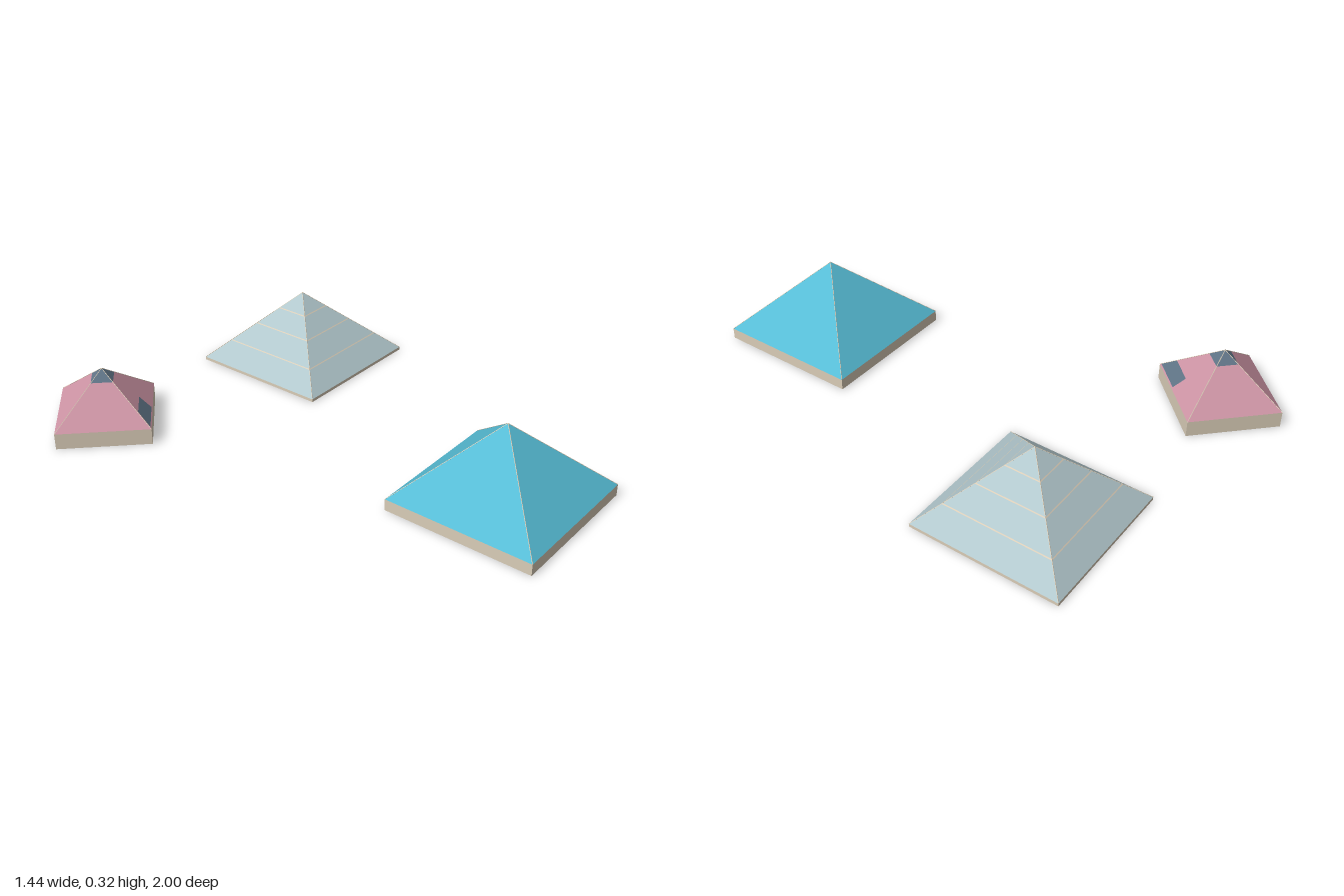
import * as THREE from 'three';

const mat = (name, color) => new THREE.MeshStandardMaterial({
  name, color, flatShading: true, side: THREE.DoubleSide,
});

export function createModel() {
  const cream = mat('cream', 0xdacdb8);
  const blue = mat('blue', 0x56bcd5);
  const grey = mat('paleGrey', 0xb2c8cd);
  const pink = mat('pink', 0xcc93a4);
  const slate = mat('slate', 0x5f7385);
  const model = new THREE.Group();
  model.name = 'pyramids';

  // Open-ended four-sided ring between two heights; r is the corner radius
  function ring(group, name, rBottom, rTop, y0, y1, material) {
    const geo = new THREE.CylinderGeometry(rTop, rBottom, y1 - y0, 4, 1, true);
    geo.translate(0, (y0 + y1) / 2, 0);
    const mesh = new THREE.Mesh(geo, material);
    mesh.name = name;
    group.add(mesh);
  }

  // Hollow pyramid: low wall, roof in coloured bands, thin trim on the hips
  // bands: [height where the band ends, material], from the eaves upward
  function pyramid({ name, x, z, radius, turn, wall, apex, bands }) {
    const group = new THREE.Group();
    group.name = name;
    group.position.set(x, 0, z);
    group.rotation.y = turn;
    const radiusAt = (y) => radius * (apex - y) / (apex - wall);

    ring(group, 'baseWall', radius, radius, 0, wall, cream);
    let y0 = wall;
    for (const [y1, material] of bands) {
      ring(group, material === cream ? 'roofLine' : 'roof', radiusAt(y0), radiusAt(y1), y0, y1, material);
      y0 = y1;
    }
    const top = new THREE.Vector3(0, apex, 0);
    for (let i = 0; i < 4; i++) {
      const a = i * Math.PI / 2;
      const corner = new THREE.Vector3(radius * Math.sin(a), wall, radius * Math.cos(a));
      const hip = new THREE.Mesh(
        new THREE.TubeGeometry(new THREE.LineCurve3(corner, top), 1, 0.0014, 4), cream);
      hip.name = 'hipTrim';
      group.add(hip);
    }
    model.add(group);
    return { group, radiusAt };
  }

  pyramid({
    name: 'bluePyramid', x: 0.011, z: 0.713, radius: 0.287 * Math.SQRT2, turn: Math.PI / 4,
    wall: 0.044, apex: 0.316, bands: [[0.316, blue]],
  });

  // Pale pyramid with three fine lines around it
  const paleBands = [];
  for (const y of [0.085, 0.158, 0.222]) paleBands.push([y, grey], [y + 0.003, cream]);
  paleBands.push([0.288, grey]);
  pyramid({
    name: 'palePyramid', x: 0.43, z: -0.528, radius: 0.291 * Math.SQRT2, turn: Math.PI / 4,
    wall: 0.012, apex: 0.288, bands: paleBands,
  });

  const small = pyramid({
    name: 'pinkPyramid', x: -0.471, z: -0.75, radius: 0.25, turn: 0,
    wall: 0.063, apex: 0.235, bands: [[0.195, pink], [0.235, slate]],
  });

  // Dark patch lying on the front-left roof face, beside the front hip
  const onFace = (px, y) => [px + 0.001, y + 0.001, small.radiusAt(y) - px + 0.001];
  const patchGeo = new THREE.BufferGeometry();
  patchGeo.setAttribute('position', new THREE.Float32BufferAttribute([
    ...onFace(0.002, 0.068), ...onFace(0.106, 0.068),
    ...onFace(0.082, 0.11), ...onFace(0.002, 0.11),
  ], 3));
  patchGeo.setIndex([0, 1, 2, 0, 2, 3]);
  patchGeo.computeVertexNormals();
  const patch = new THREE.Mesh(patchGeo, slate);
  patch.name = 'roofPatch';
  small.group.add(patch);

  return model;
}
